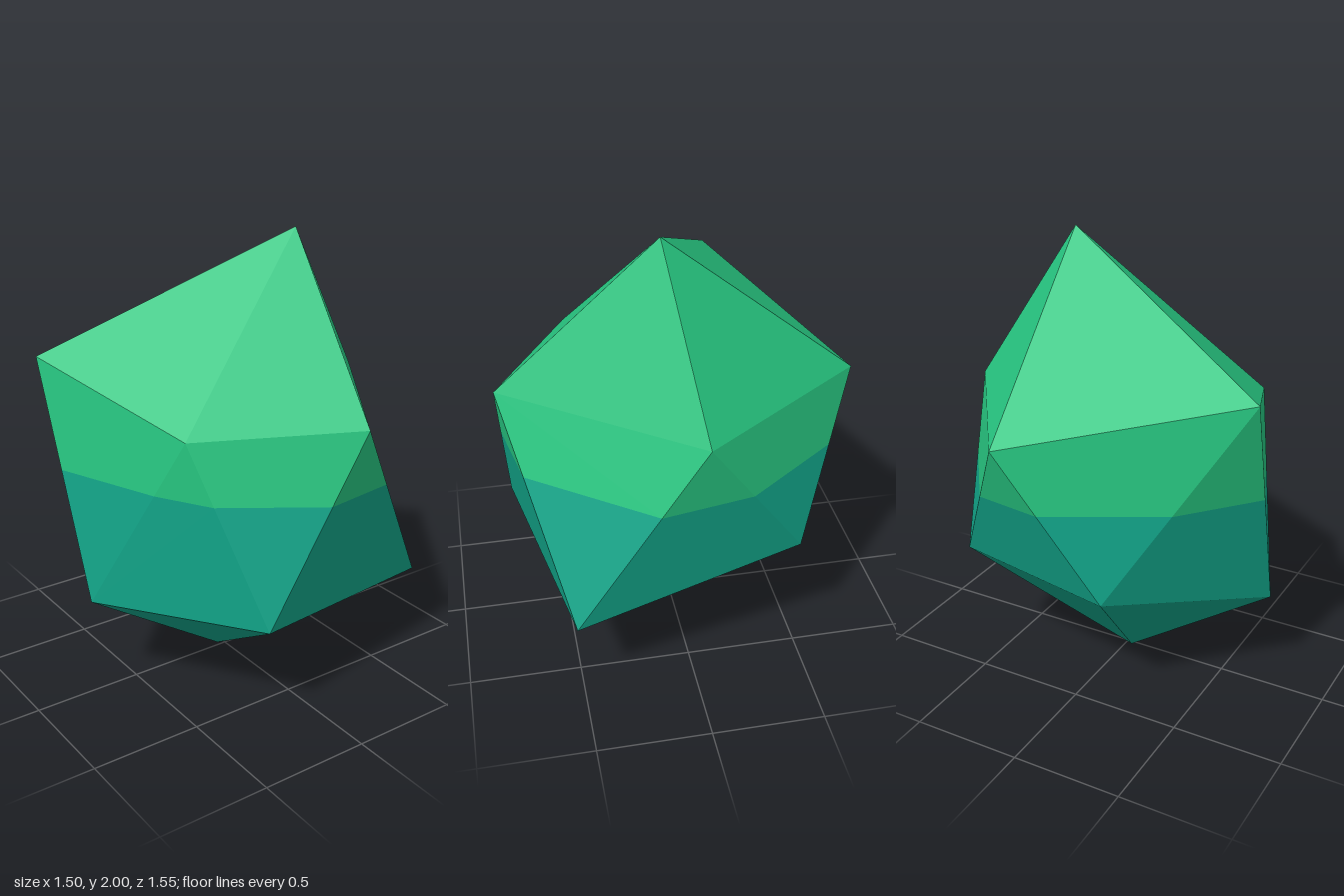
import * as THREE from 'three';

// Irregular twenty-sided gem: two poles and two rings of five corners
const v = (x, y, z) => new THREE.Vector3(x, y, z);
const tip = v(0.31, 2, 0.09);
const foot = v(-0.03, 0, -0.02);
const upper = [v(-0.755, 1.5, -0.32), v(-0.48, 1.275, 0.41), v(0.17, 1.3, 0.775), v(0.75, 1.28, -0.03), v(0.21, 1.28, -0.775)];
const lower = [v(-0.72, 0.455, 0.01), v(-0.28, 0.49, 0.72), v(0.71, 0.415, 0.525), v(0.56, 0.61, -0.485), v(-0.2, 0.59, -0.61)];

// Height above the slightly tilted colour boundary
const height = p => p.y - 1 + 0.035 * p.x;

// Part of a polygon on one side of the boundary (side = 1 above, -1 below)
function clip(poly, side) {
  const out = [];
  poly.forEach((a, i) => {
    const b = poly[(i + 1) % poly.length];
    const ha = height(a) * side, hb = height(b) * side;
    if (ha >= 0) out.push(a);
    if (ha * hb < 0) out.push(a.clone().lerp(b, ha / (ha - hb)));
  });
  return out;
}

function buildHalf(faces, side, material, name) {
  const points = [];
  for (const face of faces) {
    const p = clip(face, side);
    for (let i = 1; i < p.length - 1; i++) points.push(p[0], p[i], p[i + 1]);
  }
  const geometry = new THREE.BufferGeometry().setFromPoints(points);
  geometry.computeVertexNormals(); // unshared corners give flat facets
  const mesh = new THREE.Mesh(geometry, material);
  mesh.name = name;
  return mesh;
}

export function createModel() {
  const green = new THREE.MeshStandardMaterial({ color: 0x27c580 });
  green.name = 'emerald green';
  const teal = new THREE.MeshStandardMaterial({ color: 0x12a488 });
  teal.name = 'deep teal';

  // Crown fan, zigzag belt and base fan
  const faces = [];
  for (let i = 0; i < 5; i++) {
    const j = (i + 1) % 5;
    faces.push(
      [tip, upper[i], upper[j]],
      [upper[i], lower[i], upper[j]],
      [lower[i], lower[j], upper[j]],
      [foot, lower[j], lower[i]]
    );
  }

  const gem = new THREE.Group();
  gem.name = 'gem';
  gem.add(buildHalf(faces, 1, green, 'upperGem'), buildHalf(faces, -1, teal, 'lowerGem'));
  return gem;
}
